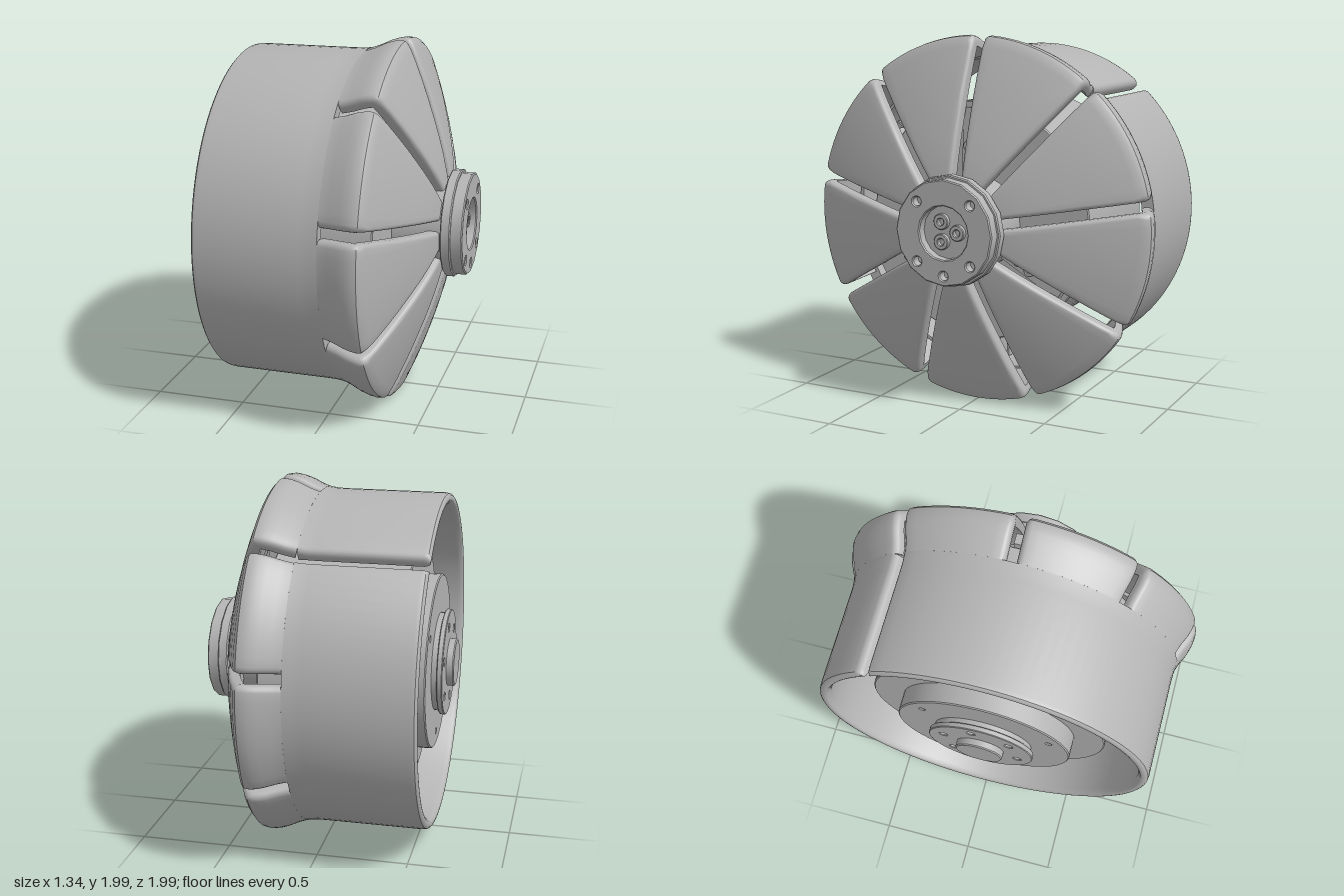
import * as THREE from 'three';
import { toCreasedNormals } from 'three/addons/utils/BufferGeometryUtils.js';

const PETALS = 9, STEP = (Math.PI * 2) / PETALS;
const GAP_ANGLE = THREE.MathUtils.degToRad(89);
const THICK = 0.06;

// Point on the wheel: axis along x, angle seen from the +x side
const polar = (x, r, a) => [x, r * Math.sin(a), -r * Math.cos(a)];

// Curved wall with rounded side edges. Rows: {x, r, nx, nr, gap, edge, thick}
function shellPatch(rows, mid, half, steps) {
  const loops = rows.map(({ x, r, nx, nr, gap, edge, thick }) => {
    const E = half - Math.asin(gap / r), e = Math.min(edge, E * r * 0.4);
    const side = [];
    for (let k = 0; k < 5; k++) {
      const f = (k / 4) * Math.PI / 2;
      side.push([-E + (e / r) * (1 - Math.cos(f)), e * (1 - Math.sin(f))]);
    }
    const lim = E - e / r, section = [...side];
    for (let k = 1; k < steps; k++) section.push([-lim + (2 * lim * k) / steps, 0]);
    section.push(...side.map(([a, d]) => [-a, d]).reverse());
    const at = (a, d) => polar(x - nx * d, r - nr * d, mid + a);
    return [...section.map(([a, d]) => at(a, d)), ...section.map(([a]) => at(a, thick)).reverse()];
  });
  const pos = [];
  const quad = (a, b, c, d) => pos.push(...a, ...b, ...c, ...a, ...c, ...d);
  const n = loops[0].length, last = loops.length - 1;
  for (let i = 0; i < last; i++) {
    for (let j = 0; j < n; j++) {
      const k = (j + 1) % n;
      quad(loops[i][j], loops[i][k], loops[i + 1][k], loops[i + 1][j]);
    }
  }
  for (let j = 0; j < n / 2 - 1; j++) {
    const A = loops[0], B = loops[last], p = n - 1 - j;
    quad(A[j], A[p], A[p - 1], A[j + 1]);
    quad(B[j], B[j + 1], B[p - 1], B[p]);
  }
  const g = new THREE.BufferGeometry();
  g.setAttribute('position', new THREE.Float32BufferAttribute(pos, 3));
  return toCreasedNormals(g, 0.6);
}

// Disc along x with round holes [right, up, radius] as seen from +x
function disc(x0, x1, radius, holes = [], segments = 24, bevel = 0.006) {
  const shape = new THREE.Shape().absarc(0, 0, radius - bevel, 0, Math.PI * 2, false);
  for (const [u, v, r] of holes) {
    shape.holes.push(new THREE.Path().absarc(u, v, r + bevel, 0, Math.PI * 2, true));
  }
  const g = new THREE.ExtrudeGeometry(shape, {
    depth: x1 - x0 - 2 * bevel, curveSegments: segments,
    bevelEnabled: true, bevelSize: bevel, bevelThickness: bevel, bevelSegments: 1,
  });
  g.translate(0, 0, bevel).rotateY(Math.PI / 2).translate(x0, 0, 0);
  return toCreasedNormals(g, 0.5);
}

const ringHoles = (count, ring, r, start = 0) => Array.from({ length: count }, (_, i) => {
  const a = start + (i / count) * Math.PI * 2;
  return [ring * Math.cos(a), ring * Math.sin(a), r];
});

export function createModel() {
  const model = new THREE.Group();
  const wheel = new THREE.Group();
  wheel.name = 'wheel';
  wheel.position.y = 0.995;
  model.add(wheel);
  const grey = new THREE.MeshStandardMaterial({ color: 0xb4b4b4 });
  grey.name = 'plain grey';
  const add = (name, geometry, parent = wheel) => {
    const m = new THREE.Mesh(geometry, grey);
    m.name = name;
    parent.add(m);
    return m;
  };

  // Drum wall with a rounded rear rim, split along one gap: x, radius, thickness
  const drumRows = [[-0.597, 0.895, 0.01], [-0.594, 0.906, 0.03], [-0.585, 0.916, 0.047],
    [-0.565, 0.92, THICK], [-0.02, 0.921, THICK], [0.03, 0.923, THICK], [0.075, 0.929, 0.066]]
    .map(([x, r, thick]) => ({ x, r, thick, nx: 0, nr: 1, gap: 0.024, edge: Math.min(0.035, thick) }));
  add('drumWall', shellPatch(drumRows, GAP_ANGLE - STEP + Math.PI, Math.PI, 90));

  // Flared petals closing the front
  const profile = [[0.075, 0.929], [0.09, 0.933], [0.13, 0.947], [0.19, 0.975],
    [0.23, 0.988], [0.265, 0.994], [0.292, 0.99], [0.31, 0.971], [0.325, 0.935], [0.345, 0.89],
    [0.384, 0.79], [0.42, 0.69], [0.453, 0.59], [0.484, 0.49], [0.511, 0.39], [0.533, 0.29],
    [0.547, 0.19]];
  const petalRows = profile.map(([x, r], i) => {
    const a = profile[Math.max(i - 1, 0)], b = profile[Math.min(i + 1, profile.length - 1)];
    const dx = b[0] - a[0], dr = b[1] - a[1], len = Math.hypot(dx, dr);
    return { x, r, thick: THICK, nx: -dr / len, nr: dx / len, gap: 0.028, edge: x > 0.32 ? 0.022 : 0.035 };
  });
  for (let i = 0; i < PETALS; i++) {
    add('petal', shellPatch(petalRows, GAP_ANGLE + (i + 0.5) * STEP, STEP / 2, 12));
  }

  // Motor body and stepped back plates
  add('motorBody', disc(-0.46, 0.28, 0.65, [], 32));
  add('rearStep', disc(-0.57, -0.45, 0.48, ringHoles(3, 0.4, 0.014, 0.6), 32));
  add('rearNeck', disc(-0.61, -0.55, 0.27));
  add('rearFlange', disc(-0.63, -0.6, 0.29, ringHoles(6, 0.215, 0.022, 0.3), 24, 0.004));
  add('rearAxle', disc(-0.67, -0.6, 0.13));

  // Front hub with bolt holes and a recessed centre
  const holes = [[-0.155, 0.155], [0.155, 0.155], [-0.155, -0.16], [0.155, -0.16], [0, -0.225]]
    .map(([u, v]) => [u, v, 0.024]);
  add('hubShaft', disc(0.27, 0.615, 0.25));
  add('hubBackRing', disc(0.55, 0.605, 0.295, [], 8));
  add('hubFace', disc(0.595, 0.668, 0.28, [[0, 0, 0.142], ...holes], 8));

  // Socket screws in the recess
  for (const [u, v] of [[-0.03, 0.053], [0.063, 0], [-0.03, -0.053]]) {
    const g = disc(0.61, 0.64, 0.042, [[0, 0, 0.018]], 10, 0.004);
    add('hubScrew', g.translate(0, v, -u));
  }

  // Three bracket arms with bolts behind the gaps
  for (let i = 0; i < 3; i++) {
    const arm = new THREE.Group();
    arm.name = 'bracketArm';
    arm.rotation.x = GAP_ANGLE - Math.PI / 2 + (i * Math.PI * 2) / 3;
    wheel.add(arm);
    add('armBar', new THREE.BoxGeometry(0.06, 0.4, 0.1).translate(0.34, 0.42, 0), arm);
    for (const [y, r] of [[0.34, 0.025], [0.42, 0.032]]) {
      add('armBolt', disc(0.36, 0.4, r, [[0, 0, 0.012]], 10, 0.003).translate(0, y, 0), arm);
    }
  }

  // Fans of cooling fins between motor and drum
  for (let i = 0; i < 3; i++) {
    for (let k = 0; k < 6; k++) {
      const fin = add('coolingFin', new THREE.BoxGeometry(0.3, 0.2, 0.012).translate(-0.22, 0.75, 0));
      fin.rotation.x = GAP_ANGLE - Math.PI / 2 + STEP + 0.2 + (i * Math.PI * 2) / 3 + (k - 2.5) * 0.07;
    }
  }

  // Plate standing beside the motor
  add('sidePlate', new THREE.BoxGeometry(0.26, 0.46, 0.05).translate(-0.2, 0, 0.81));
  return model;
}
